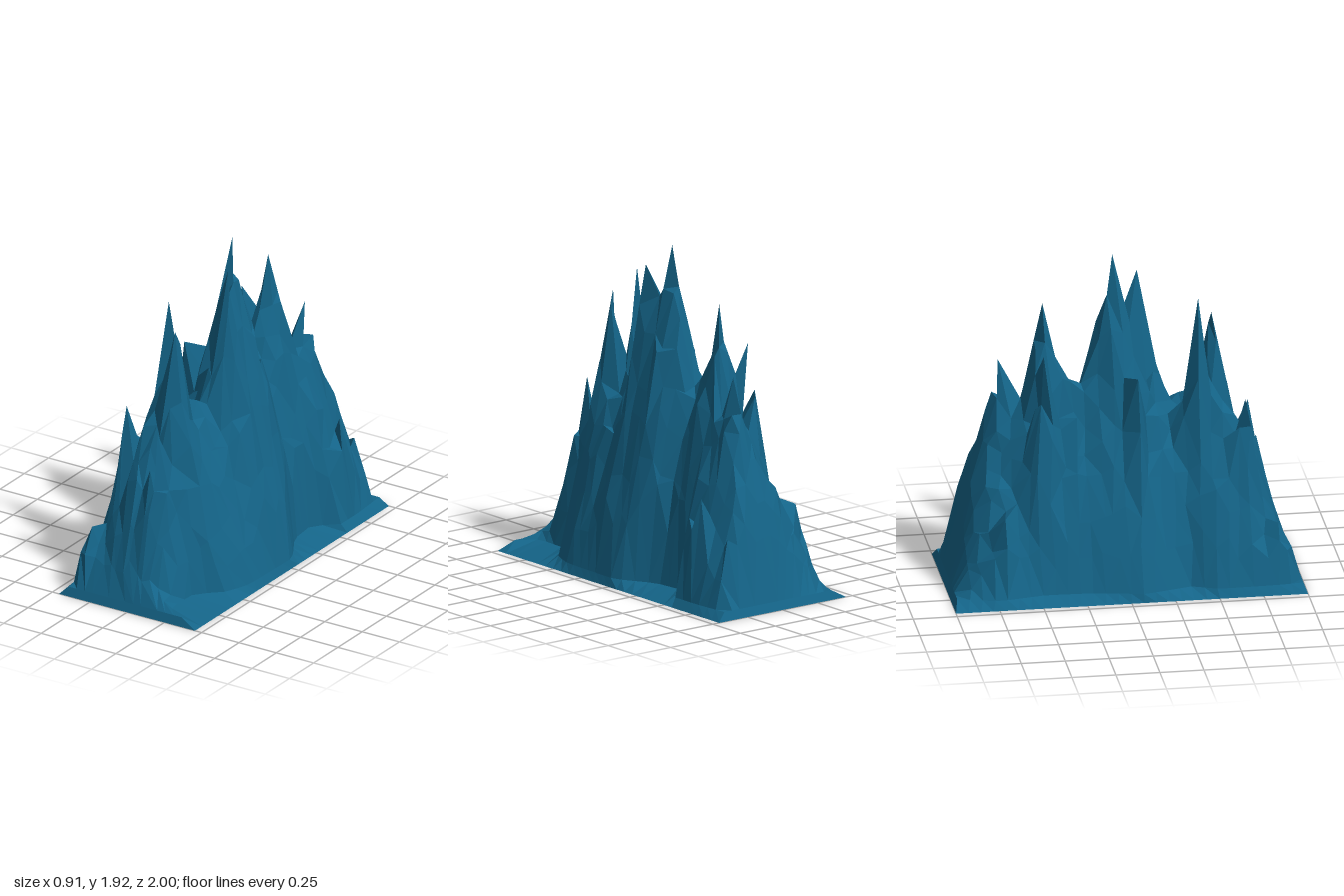
import * as THREE from 'three';

// piecewise-linear lookup through [position, value] pairs
function lookup(table, t) {
  for (let i = 1; i < table.length; i++) {
    const [a, va] = table[i - 1], [b, vb] = table[i];
    if (t <= b) return va + (vb - va) * Math.max(0, (t - a) / (b - a));
  }
  return table[table.length - 1][1];
}

function seeded(seed) {
  return () => {
    seed = (seed * 16807) % 2147483647;
    return (seed / 2147483647) * 2 - 1;
  };
}

// height of the ridge between the spires, from back to front
const ridge = [[-1, 0.05], [-0.93, 0.28], [-0.83, 0.68], [-0.75, 0.9], [-0.6, 1.08], [-0.5, 1.18],
  [-0.3, 1.23], [-0.2, 1.21], [-0.04, 1.35], [0.15, 1.24], [0.29, 1.04], [0.45, 1.12], [0.6, 1.05],
  [0.73, 0.78], [0.85, 0.43], [0.92, 0.22], [1, 0.05]];

// sideways wander of the ridge
const crest = [[-1, 0.05], [-0.68, 0.1], [-0.44, 0], [-0.04, 0.04], [0.2, 0.05], [0.45, -0.04],
  [0.7, -0.1], [1, -0.06]];

// where the slopes meet the apron on each side
const footRight = [[-1, 0.4], [-0.75, 0.42], [-0.55, 0.42], [-0.45, 0.29], [-0.25, 0.31], [-0.03, 0.44],
  [0.4, 0.43], [0.55, 0.38], [0.68, 0.24], [0.9, 0.23], [1, 0.38]];
const footLeft = [[-1, -0.36], [-0.75, -0.43], [-0.48, -0.38], [-0.2, -0.39], [0.08, -0.445],
  [0.35, -0.37], [0.5, -0.43], [0.87, -0.42], [1, -0.4]];

// spires and shoulders: x, z, height, steepness
const peaks = [
  [0.03, -0.04, 1.925, 4.6], [0.1, 0.11, 1.795, 6], [0.06, 0.035, 1.62, 6], [-0.09, 0.43, 1.68, 7],
  [0.01, 0.52, 1.55, 5], [0.01, -0.44, 1.66, 4.5], [-0.18, -0.46, 1.41, 7], [-0.22, 0.07, 1.26, 9],
  [0.1, -0.68, 1.3, 4], [-0.21, 0.68, 1.1, 6], [0.03, 0.73, 1.0, 4.5], [0.21, -0.04, 1.1, 5],
  [0.17, 0.15, 1.27, 5], [0.33, -0.68, 0.63, 3], [0.2, -0.83, 0.7, 3], [0.3, -0.88, 0.43, 3],
  [0.25, 0.11, 0.95, 4], [-0.33, 0.85, 0.39, 2], [-0.31, 0.69, 0.5, 3], [-0.33, -0.7, 0.5, 3],
];

function heightAt(x, z) {
  const centre = lookup(crest, z);
  const edge = lookup(x > centre ? footRight : footLeft, z);
  const s = Math.min(1, (x - centre) / (edge - centre));
  let h = 0.05 + (lookup(ridge, z) - 0.05) * (1 - Math.pow(s, 1.6));
  for (const [px, pz, ph, slope] of peaks) {
    h = Math.max(h, ph - slope * Math.hypot(x - px, z - pz));
  }
  return h;
}

function mountainGeometry(cols, rows) {
  const rand = seeded(4127);
  const points = [];
  const at = (i, j) => points[j * (cols + 1) + i];
  for (let j = 0; j <= rows; j++) {
    for (let i = 0; i <= cols; i++) {
      const border = i === 0 || j === 0 || i === cols || j === rows;
      const foot = i === 1 || j === 1 || i === cols - 1 || j === rows - 1;
      // inner grid runs from foot to foot
      const v = THREE.MathUtils.clamp((j - 1) / (rows - 2), 0, 1);
      const u = THREE.MathUtils.clamp((i - 1) / (cols - 2), 0, 1);
      let z = -0.98 + 1.96 * v;
      let x = THREE.MathUtils.lerp(lookup(footLeft, z), lookup(footRight, z), u);
      let y = 0.05;
      if (border) {
        // flat rectangular rim on the ground
        x = i === 0 ? -0.455 : i === cols ? 0.455 : -0.455 + 0.91 * u;
        z = j === 0 ? -1 : j === rows ? 1 : -1 + 2 * v;
        y = 0;
      } else if (!foot) {
        x += rand() * 0.016;
        z += rand() * 0.02;
        y = Math.max(0.05, heightAt(x, z) * (1 + 0.06 * rand()) - 0.01);
      }
      points.push({ x, y, z, fixed: border || foot });
    }
  }
  // pull the nearest free point exactly onto every summit
  for (const [px, pz, ph] of peaks) {
    let best = null, dist = Infinity;
    for (const p of points) {
      const d = Math.hypot(p.x - px, p.z - pz);
      if (!p.fixed && d < dist) { best = p; dist = d; }
    }
    Object.assign(best, { x: px, y: ph, z: pz, fixed: true });
  }
  const position = [], index = [];
  for (const p of points) position.push(p.x, p.y, p.z);
  for (let j = 0; j < rows; j++) {
    for (let i = 0; i < cols; i++) {
      const a = j * (cols + 1) + i, b = a + 1, c = a + cols + 1, d = c + 1;
      // split each cell along its flatter diagonal to make crisp ribs
      const alongAD = Math.abs(at(i, j).y - at(i + 1, j + 1).y) < Math.abs(at(i + 1, j).y - at(i, j + 1).y);
      if (alongAD) index.push(a, c, d, a, d, b);
      else index.push(a, c, b, b, c, d);
    }
  }
  const geometry = new THREE.BufferGeometry();
  geometry.setAttribute('position', new THREE.Float32BufferAttribute(position, 3));
  geometry.setIndex(index);
  const faceted = geometry.toNonIndexed();
  faceted.computeVertexNormals();
  return faceted;
}

export function createModel() {
  const group = new THREE.Group();
  group.name = 'mountainRange';
  // open shell, hollow underneath
  const material = new THREE.MeshStandardMaterial({ color: 0x146488, flatShading: true, side: THREE.DoubleSide });
  const mountain = new THREE.Mesh(mountainGeometry(16, 30), material);
  mountain.name = 'rockyPeaks';
  group.add(mountain);
  return group;
}
